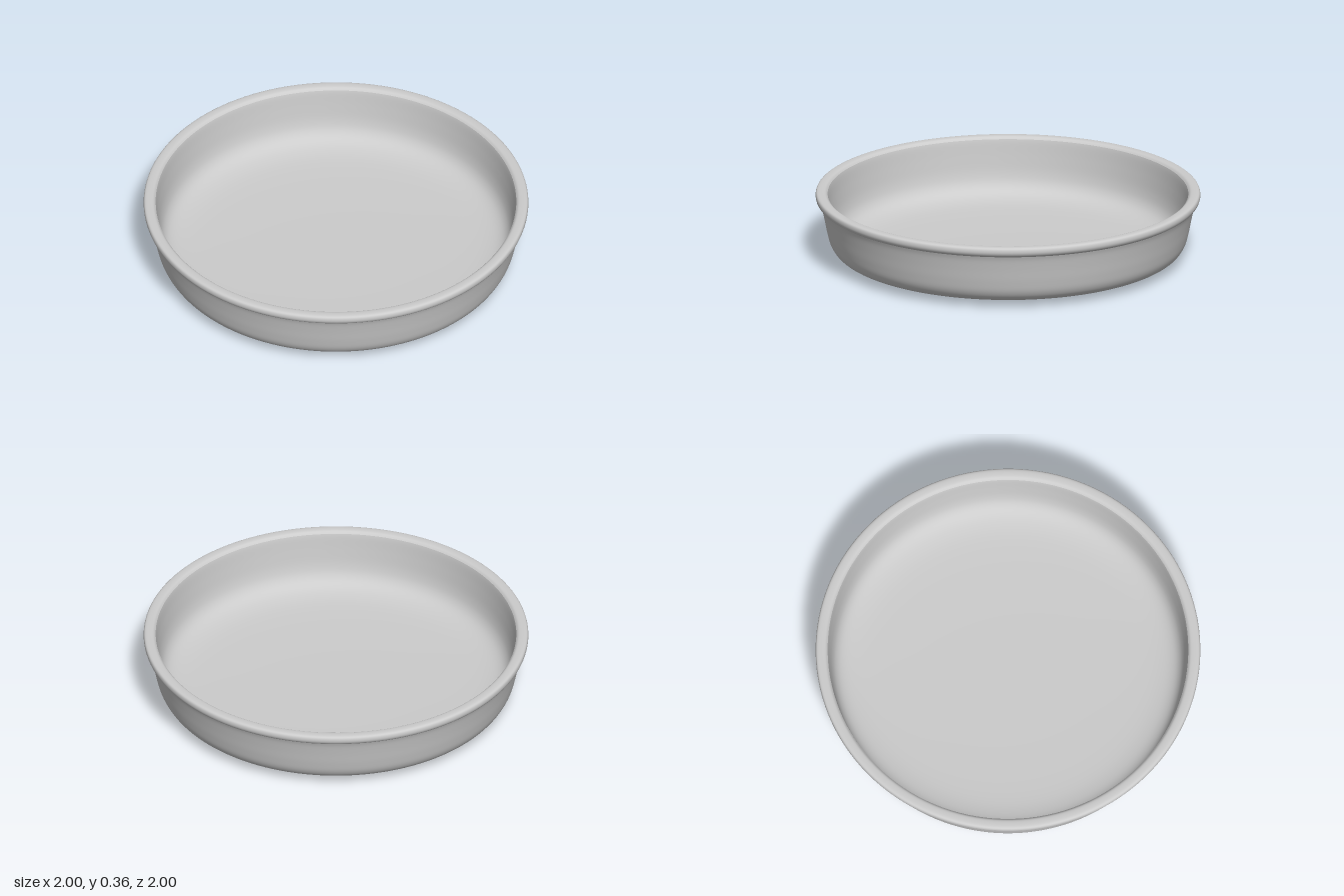
import * as THREE from 'three';

const material = new THREE.MeshStandardMaterial({ color: 0xcccccc });

// Revolve a smooth curve through a few [radius, height] points
function turned(name, points, samples) {
  const curve = new THREE.SplineCurve(points.map(([r, y]) => new THREE.Vector2(r, y)));
  const profile = curve.getPoints(samples);
  profile.forEach((p) => { p.x = Math.max(p.x, 0); });
  const mesh = new THREE.Mesh(new THREE.LatheGeometry(profile, 128), material);
  mesh.name = name;
  return mesh;
}

export function createModel() {
  const dish = new THREE.Group();
  dish.name = 'shallowRoundDish';

  // Underside and outer wall, from the centre up to the lip
  dish.add(turned('outerShell', [
    [0, 0], [0.35, 0.002], [0.6, 0.008], [0.75, 0.014], [0.84, 0.027], [0.895, 0.05],
    [0.925, 0.09], [0.942, 0.15], [0.956, 0.22], [0.968, 0.275], [0.977, 0.302],
  ], 50));

  // Rounded lip that overhangs the wall
  dish.add(turned('rim', [
    [0.977, 0.302], [0.992, 0.312], [1, 0.328], [0.999, 0.346], [0.99, 0.355],
    [0.97, 0.357], [0.95, 0.354], [0.938, 0.343],
  ], 28));

  // Inner wall and floor
  dish.add(turned('basin', [
    [0.938, 0.343], [0.934, 0.32], [0.926, 0.25], [0.914, 0.17], [0.895, 0.115],
    [0.86, 0.078], [0.8, 0.055], [0.7, 0.042], [0.5, 0.035], [0.25, 0.032], [0, 0.032],
  ], 50));

  return dish;
}
